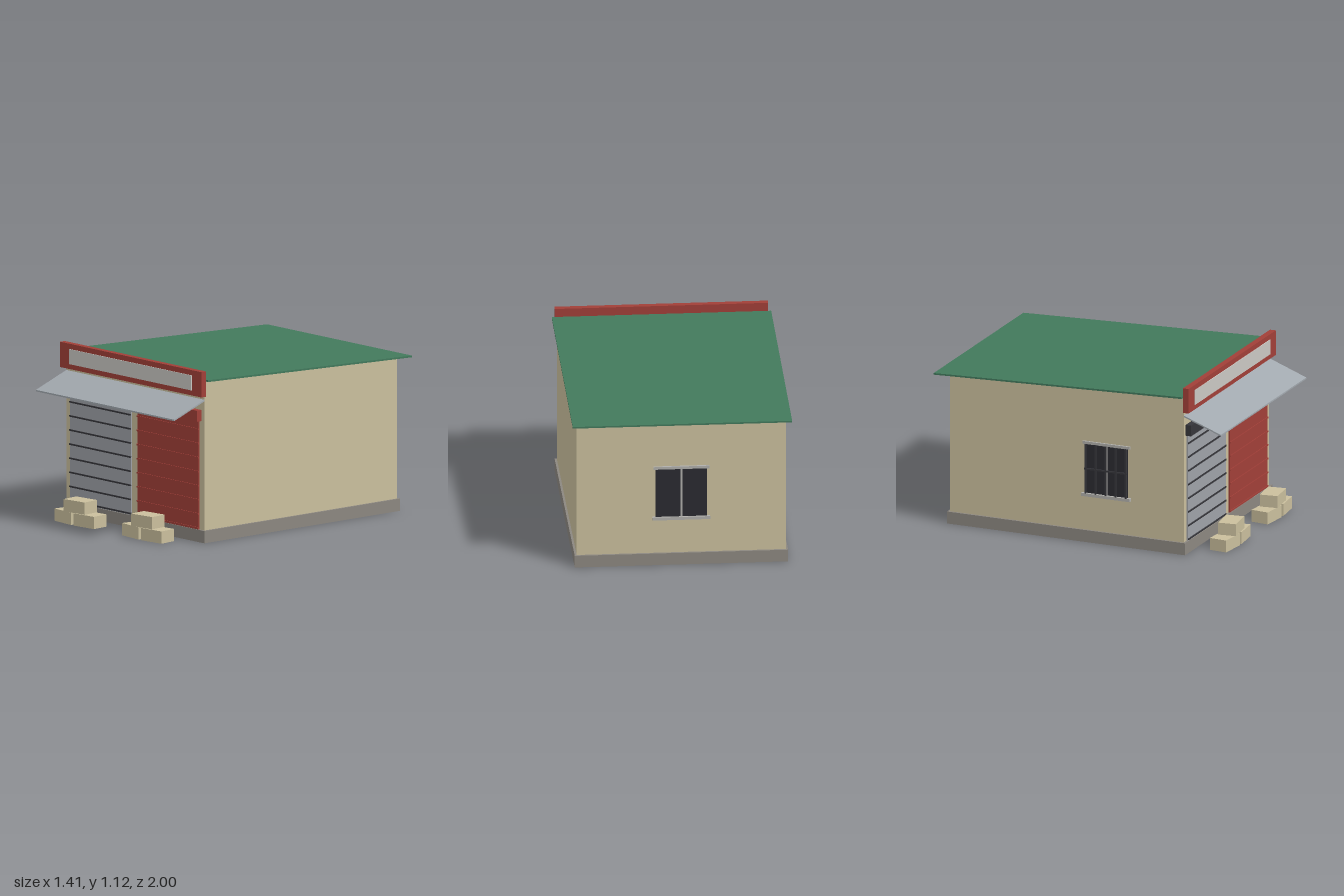
import * as THREE from 'three';

const mat = (name, color) => {
  const m = new THREE.MeshStandardMaterial({ color });
  m.name = name;
  return m;
};

export function createModel() {
  const wall = mat('sand wall', 0xcabf9d);
  const stone = mat('plinth grey', 0x8c8780);
  const green = mat('roof green', 0x42795c);
  const red = mat('red paint', 0xa13f38);
  const slat = mat('shutter grey', 0x9fa2a8);
  const dark = mat('dark metal', 0x36363b);
  const glass = mat('dark glass', 0x2b2b31);
  const white = mat('sign panel', 0xcac8c3);
  const metal = mat('awning grey', 0xa2a9af);
  const trim = mat('window trim', 0xb0afab);

  const model = new THREE.Group();
  model.name = 'garage';

  // Box given by its lower and upper corners
  const box = (name, material, x0, x1, y0, y1, z0, z1, parent = model) => {
    const mesh = new THREE.Mesh(new THREE.BoxGeometry(x1 - x0, y1 - y0, z1 - z0), material);
    mesh.position.set((x0 + x1) / 2, (y0 + y1) / 2, (z0 + z1) / 2);
    mesh.name = name;
    parent.add(mesh);
    return mesh;
  };

  // Side profile of [z, y] points, extruded across x
  const profile = (name, material, points, halfWidth) => {
    const shape = new THREE.Shape(points.map(([z, y]) => new THREE.Vector2(-z, y)));
    const geo = new THREE.ExtrudeGeometry(shape, { depth: halfWidth * 2, bevelEnabled: false });
    geo.translate(0, 0, -halfWidth).rotateY(Math.PI / 2);
    const mesh = new THREE.Mesh(geo, material);
    mesh.name = name;
    model.add(mesh);
  };

  // Plinth, sloping body, roof sheet and awning
  box('plinth', stone, -0.686, 0.686, 0, 0.08, -0.915, 0.755);
  profile('walls', wall, [[0.74, 0.05], [0.74, 1.053], [-0.9, 0.996], [-0.9, 0.05]], 0.672);
  profile('roof', green, [[0.74, 1.053], [0.74, 1.065], [-1, 1.005], [-1, 0.994]], 0.705);
  profile('awning', metal, [[0.74, 0.923], [0.74, 0.933], [1, 0.836], [1, 0.826]], 0.672);

  // Front sign board
  box('signBoard', red, -0.686, 0.686, 0.955, 1.12, 0.74, 0.78);
  box('signPanel', white, -0.593, 0.593, 0.988, 1.086, 0.779, 0.785);

  // Two roller doors with slat joints and roller housings
  const door = (name, cx, panelMat, trimMat) => {
    const g = new THREE.Group();
    g.name = name;
    model.add(g);
    box('doorPanel', panelMat, cx - 0.297, cx + 0.297, 0.08, 0.8, 0.735, 0.75, g);
    for (let i = 0; i < 8; i++) {
      const y = 0.09 + i * 0.092;
      box('slatJoint', trimMat, cx - 0.297, cx + 0.297, y - 0.005, y + 0.005, 0.745, 0.756, g);
    }
    box('rollerHousing', trimMat, cx - 0.315, cx + 0.315, 0.79, 0.862, 0.735, 0.78, g);
  };
  door('greyDoor', -0.33, slat, dark);
  door('redDoor', 0.327, red, red);

  // Window built facing +z with its back on z = 0
  const makeWindow = (name, halfWidth, barred) => {
    const g = new THREE.Group();
    g.name = name;
    model.add(g);
    box('pane', glass, -halfWidth, halfWidth, 0.33, 0.66, -0.005, 0.007, g);
    box('mullion', trim, -0.007, 0.007, 0.33, 0.66, 0, 0.011, g);
    box('lintel', trim, -halfWidth - 0.015, halfWidth + 0.015, 0.658, 0.676, -0.005, 0.013, g);
    box('sill', trim, -halfWidth - 0.02, halfWidth + 0.02, 0.31, 0.33, -0.005, barred ? 0.025 : 0.02, g);
    if (barred) {
      for (let i = 0; i < 5; i++) {
        const x = (i / 2 - 1) * (halfWidth - 0.008);
        box('bar', dark, x - 0.005, x + 0.005, 0.33, 0.66, 0.015, 0.025, g);
      }
      box('crossBar', dark, -halfWidth, halfWidth, 0.49, 0.5, 0.015, 0.025, g);
    }
    return g;
  };
  const back = makeWindow('backWindow', 0.165, false);
  back.position.z = -0.9;
  back.rotation.y = Math.PI;
  const side = makeWindow('sideWindow', 0.15, true);
  side.position.set(-0.672, 0, 0.2);
  side.rotation.y = -Math.PI / 2;

  // Two small stacks of three blocks
  for (const cx of [-0.333, 0.323]) {
    const stack = new THREE.Group();
    stack.name = 'blockStack';
    stack.position.set(cx, 0, 0.92);
    model.add(stack);
    for (const [x, y, turn] of [[-0.096, 0, -0.1], [0.096, 0, 0.1], [0.003, 0.08, 0.12]]) {
      const block = box('block', wall, -0.09, 0.09, y, y + 0.08, -0.06, 0.06, stack);
      block.position.x = x;
      block.rotation.y = turn;
    }
  }

  return model;
}
